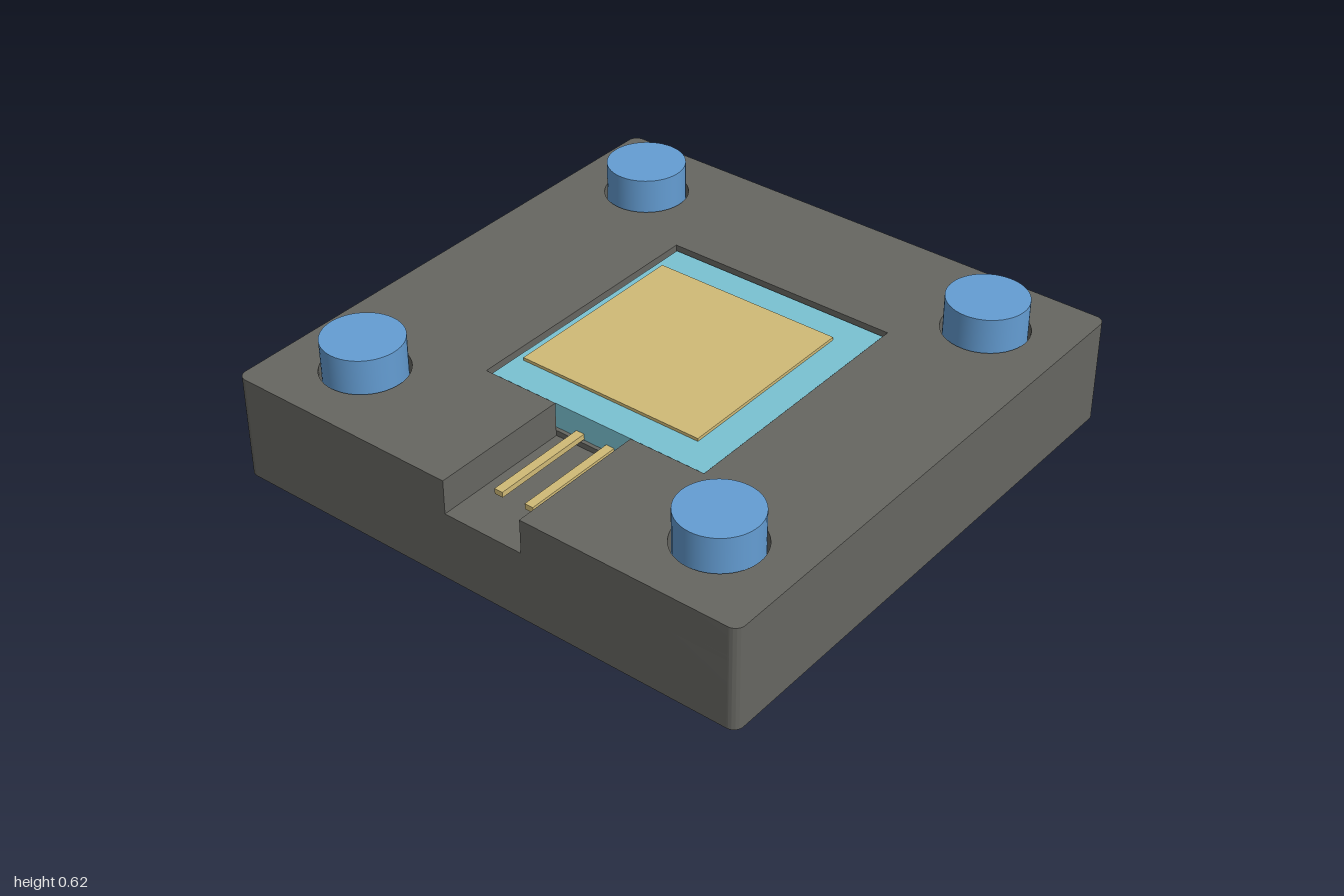
import * as THREE from 'three';
import { toCreasedNormals } from 'three/addons/utils/BufferGeometryUtils.js';

const mat = (name, color) => {
  const m = new THREE.MeshStandardMaterial({ color });
  m.name = name;
  return m;
};

export function createModel() {
  const group = new THREE.Group();
  const grey = mat('darkGrey', 0x666661);
  const blue = mat('blue', 0x649dd3);
  const cyan = mat('cyan', 0x7ac2d2);
  const gold = mat('gold', 0xd0ba76);

  const add = (name, geometry, material, x = 0, y = 0, z = 0) => {
    const mesh = new THREE.Mesh(geometry, material);
    mesh.name = name;
    mesh.position.set(x, y, z);
    group.add(mesh);
  };
  const block = (name, material, [x0, x1], [y0, y1], [z0, z1]) =>
    add(name, new THREE.BoxGeometry(x1 - x0, y1 - y0, z1 - z0), material,
      (x0 + x1) / 2, (y0 + y1) / 2, (z0 + z1) / 2);

  const P = 0.714; // peg offset from the centre
  const corners = [[-P, -P], [P, -P], [P, P], [-P, P]];
  const channel = [-0.11, 0.195];
  const pocket = { x0: -0.4, x1: 0.48, z0: -0.49, z1: 0.485 };

  // Rounded square outline; the notch is a list of [x, z] cut in from the front edge
  const plate = (notch) => {
    const r = 0.035, s = new THREE.Shape();
    s.moveTo(-1 + r, -1);
    notch.forEach(([x, z]) => s.lineTo(x, -z));
    s.lineTo(1 - r, -1);
    s.absarc(1 - r, -1 + r, r, -Math.PI / 2, 0);
    s.absarc(1 - r, 1 - r, r, 0, Math.PI / 2);
    s.absarc(-1 + r, 1 - r, r, Math.PI / 2, Math.PI);
    s.absarc(-1 + r, -1 + r, r, Math.PI, Math.PI * 1.5);
    for (const [x, z] of corners) {
      s.holes.push(new THREE.Path().absarc(x, -z, 0.15, 0, Math.PI * 2, true));
    }
    return s;
  };
  // Square window through the underside
  const cutWindow = (s) => {
    const w = 0.31;
    s.holes.push(new THREE.Path([[-w, -w], [-w, w], [w, w], [w, -w]].map(p => new THREE.Vector2(...p))));
    return s;
  };
  const layer = (name, shape, y0, y1) => {
    const g = new THREE.ExtrudeGeometry(shape, { depth: y1 - y0, bevelEnabled: false, curveSegments: 24 });
    g.rotateX(-Math.PI / 2);
    add(name, toCreasedNormals(g, 0.6), grey, 0, y0, 0);
  };

  // Housing: solid floor, pocket floor with cable channel, pocket walls
  const [c0, c1] = channel, { x0, x1, z0, z1 } = pocket;
  layer('housingBottom', cutWindow(plate([])), 0.12, 0.375);
  layer('housingPocketFloor', cutWindow(plate([[c0, 1], [c0, z1], [c1, z1], [c1, 1]])), 0.375, 0.395);
  layer('housingTop', plate([[c0, 1], [c0, z1], [x0, z1], [x0, z0], [x1, z0], [x1, z1], [c1, z1], [c1, 1]]), 0.395, 0.5);

  // Pegs through the corner holes
  for (const [x, z] of corners) {
    add('peg', new THREE.CylinderGeometry(0.14, 0.14, 0.62, 48), blue, x, 0.31, z);
  }

  // Sensor block in the pocket, its active pad and two leads
  block('sensorBody', cyan, [-0.387, 0.47], [0.396, 0.488], [-0.477, 0.472]);
  block('sensorPad', gold, [-0.358, 0.355], [0.488, 0.499], [-0.36, 0.355]);
  for (const x of [-0.021, 0.101]) {
    block('lead', gold, [x - 0.016, x + 0.016], [0.4, 0.42], [0.472, 0.855]);
  }
  return group;
}
